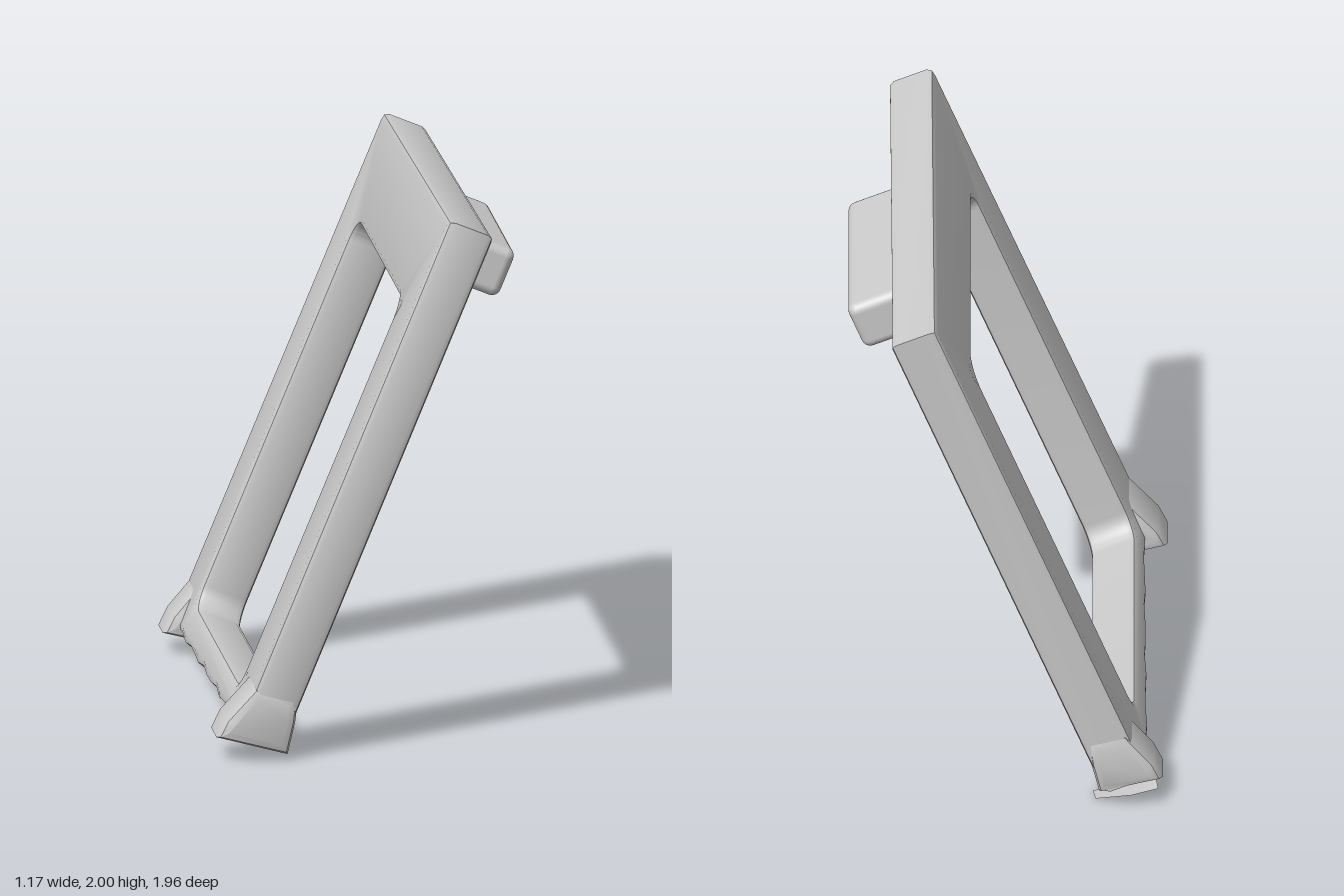
import * as THREE from 'three';
import { toCreasedNormals } from 'three/addons/utils/BufferGeometryUtils.js';
import { RoundedBoxGeometry } from 'three/addons/geometries/RoundedBoxGeometry.js';

const material = new THREE.MeshStandardMaterial({ color: 0xcccccc });

function addMesh(parent, name, geometry, mat = material) {
  const mesh = new THREE.Mesh(geometry, mat);
  mesh.name = name;
  parent.add(mesh);
  return mesh;
}

// Bevelled extrusion whose full size, bevels included, is the outline times the width
function slab(shape, width, bevel) {
  const geometry = new THREE.ExtrudeGeometry(shape, {
    depth: width - 2 * bevel, bevelThickness: bevel, bevelSize: bevel,
    bevelOffset: -bevel, bevelSegments: 2, curveSegments: 6,
  });
  geometry.translate(0, 0, bevel - width / 2);
  return toCreasedNormals(geometry, 0.7);
}

function roundedHole(x0, y0, x1, y1, r) {
  const hole = new THREE.Path();
  hole.moveTo(x0 + r, y0);
  hole.absarc(x0 + r, y1 - r, r, Math.PI, Math.PI / 2, true);
  hole.absarc(x1 - r, y1 - r, r, Math.PI / 2, 0, true);
  hole.absarc(x1 - r, y0 + r, r, 0, -Math.PI / 2, true);
  hole.absarc(x0 + r, y0 + r, r, -Math.PI / 2, -Math.PI, true);
  hole.closePath();
  return hole;
}

export function createModel() {
  const model = new THREE.Group();
  model.name = 'leaningFrame';

  // Leaning plane: local x runs to -z, local y up the slope, local z out of the front face
  const lean = new THREE.Group();
  lean.name = 'frameAssembly';
  const a = THREE.MathUtils.degToRad(22.5);
  const up = new THREE.Vector3(Math.sin(a), Math.cos(a), 0);
  const out = new THREE.Vector3(Math.cos(a), -Math.sin(a), 0);
  lean.quaternion.setFromRotationMatrix(
    new THREE.Matrix4().makeBasis(new THREE.Vector3(0, 0, -1), up, out));
  lean.position.set(-0.448, 0.05, 0);
  model.add(lean);

  // Frame with a ragged lower edge
  const outline = new THREE.Shape();
  outline.moveTo(0.93, 2.06);
  outline.lineTo(-0.955, 2.088);
  outline.lineTo(-0.975, 0.045);
  for (let i = 1; i < 16; i++) {
    outline.lineTo(-0.975 + i * 0.119, 0.04 - i * 0.0018 + 0.008 * Math.sin(i * 2.3));
  }
  outline.lineTo(0.93, 0.012);
  outline.closePath();
  outline.holes.push(roundedHole(-0.67, 0.148, 0.635, 1.7, 0.08));
  addMesh(lean, 'frame', slab(outline, 0.18, 0.025));

  // Handle block on the front of the top rail
  const handle = addMesh(lean, 'handle', new RoundedBoxGeometry(0.79, 0.19, 0.27, 3, 0.035));
  handle.position.set(-0.015, 1.88, 0.168);

  // Swollen feet at both lower corners
  const profile = [[-0.15, -0.017], [-0.145, 0.06], [-0.09, 0.21],
    [0.075, 0.23], [0.1, 0.14], [0.12, 0.018]];
  for (const [name, x, width, swell] of [['leftFoot', 0.84, 0.2, 0.88], ['rightFoot', -0.865, 0.23, 1]]) {
    const shape = new THREE.Shape(profile.map(([t, s]) => new THREE.Vector2(t * swell, s)));
    shape.closePath();
    const foot = addMesh(lean, name, slab(shape, width, 0.035));
    foot.rotation.y = -Math.PI / 2;
    foot.position.x = x;
  }

  // Thin torn flap at the far lower corner
  const flap = new THREE.BufferGeometry();
  flap.setAttribute('position', new THREE.Float32BufferAttribute([
    -0.55, 0.075, -0.88, -0.56, 0.07, -0.965, -0.46, 0.05, -0.98,
    -0.33, 0.01, -0.935, -0.32, 0, -0.86, -0.45, 0.03, -0.85], 3));
  flap.setIndex([0, 2, 1, 0, 5, 2, 5, 3, 2, 5, 4, 3]);
  flap.computeVertexNormals();
  const thin = material.clone();
  thin.side = THREE.DoubleSide;
  addMesh(model, 'tornFlap', flap, thin);

  return model;
}
